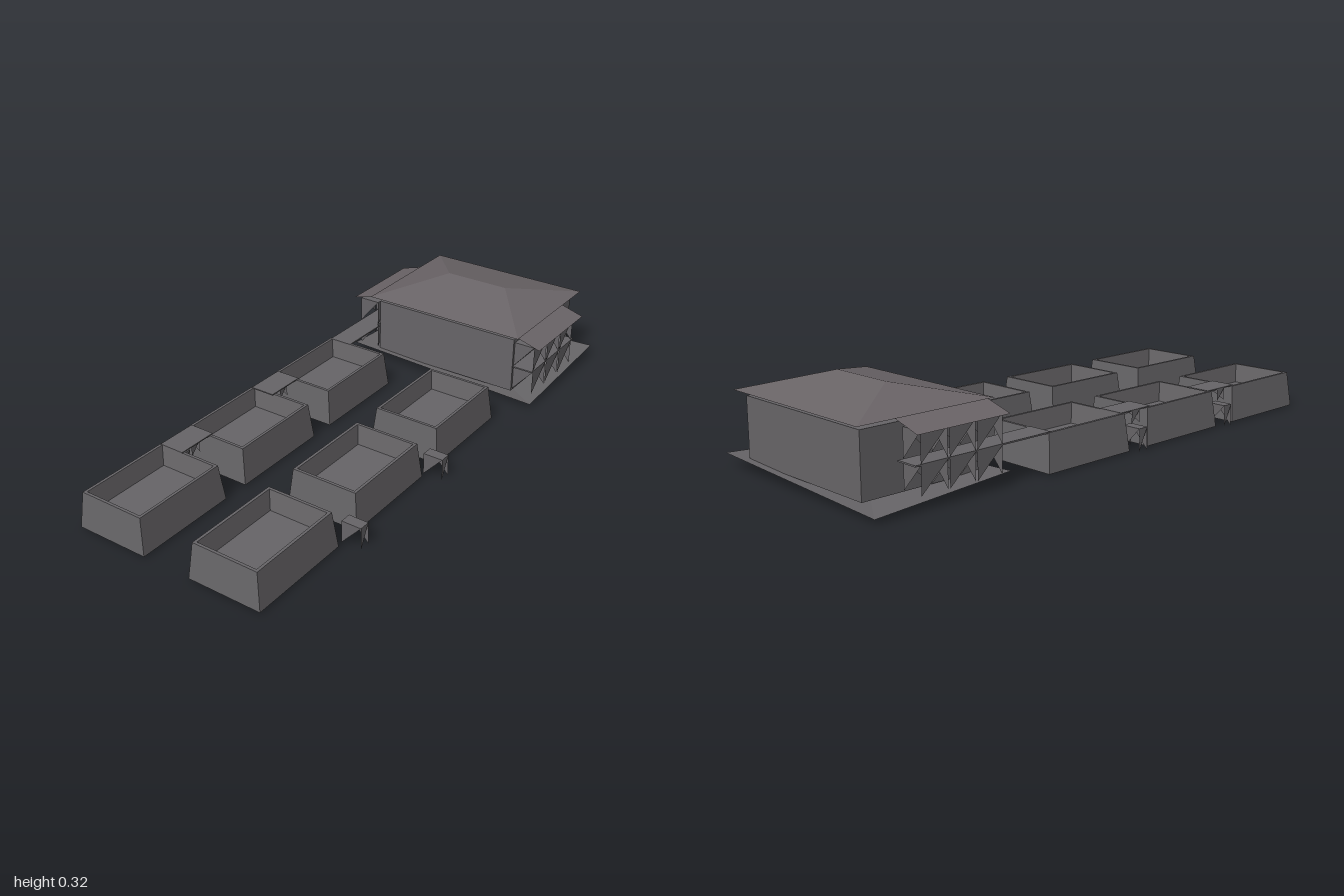
import * as THREE from 'three';

const stone = new THREE.MeshStandardMaterial({ color: 0x676568, side: THREE.DoubleSide });
stone.name = 'stone grey';
const roofing = new THREE.MeshStandardMaterial({ color: 0x6a6467, side: THREE.DoubleSide });
roofing.name = 'roof grey';

// Flat-shaded sheet made from polygons; each polygon is a list of [x, y, z] corners
function sheet(name, polygons, material) {
  const pos = [];
  for (const p of polygons)
    for (let i = 1; i < p.length - 1; i++) pos.push(...p[0], ...p[i], ...p[i + 1]);
  const g = new THREE.BufferGeometry();
  g.setAttribute('position', new THREE.Float32BufferAttribute(pos, 3));
  g.computeVertexNormals();
  const mesh = new THREE.Mesh(g, material);
  mesh.name = name;
  return mesh;
}

function box(name, x0, x1, y0, y1, z0, z1, material) {
  const mesh = new THREE.Mesh(new THREE.BoxGeometry(x1 - x0, y1 - y0, z1 - z0), material);
  mesh.position.set((x0 + x1) / 2, (y0 + y1) / 2, (z0 + z1) / 2);
  mesh.name = name;
  return mesh;
}

// Rectangle ring, counter-clockwise from above
const ring = (hx, hz, y) => [[-hx, y, hz], [hx, y, hz], [hx, y, -hz], [-hx, y, -hz]];

// Open tank with sloping outer walls, a narrow rim and a sunken floor
function basin(x, z) {
  const rings = [ring(0.136, 0.19, 0.005), ring(0.122, 0.177, 0.135),
    ring(0.112, 0.167, 0.135), ring(0.102, 0.155, 0.065)];
  const faces = [[...rings[0]].reverse(), rings[3]];
  for (let r = 0; r < 3; r++)
    for (let i = 0; i < 4; i++) {
      const j = (i + 1) % 4;
      faces.push([rings[r][i], rings[r][j], rings[r + 1][j], rings[r + 1][i]]);
    }
  const mesh = sheet('basin', faces, stone);
  mesh.position.set(x, 0, z);
  return mesh;
}

// Support with a flat top and one downward triangle on every side
function bracket(name, x0, x1, y0, y1, z0, z1) {
  const top = [[x0, y1, z1], [x1, y1, z1], [x1, y1, z0], [x0, y1, z0]];
  const faces = [top];
  top.forEach((a, i) => faces.push([[a[0], y0, a[2]], top[(i + 1) % 4], a]));
  return sheet(name, faces, stone);
}

export function createModel() {
  const model = new THREE.Group();
  model.name = 'waterworks';

  // Two rows of three basins
  for (const x of [-0.268, 0.186])
    for (const z of [-0.145, 0.328, 0.805]) model.add(basin(x, z));

  // Posts and footbridges between the basins
  for (const z of [0.095, 0.565]) {
    model.add(bracket('post', 0.312, 0.385, 0, 0.08, z - 0.02, z + 0.02));
    model.add(bracket('post', -0.42, -0.348, 0, 0.08, z - 0.02, z + 0.02));
    model.add(bracket('bridgeSupport', -0.385, -0.3, 0.09, 0.134, z - 0.02, z + 0.02));
    model.add(box('footbridge', -0.385, -0.29, 0.134, 0.138, z - 0.075, z + 0.075, stone));
  }
  model.add(box('footbridge', -0.385, -0.295, 0.131, 0.136, -0.51, -0.31, stone));

  // Thin, slightly warped ground slab
  const fl = [-0.39, 0.046, -0.485], fr = [0.398, 0.014, -0.485];
  const br = [0.398, 0.046, -1], bl = [-0.39, 0.014, -1];
  model.add(sheet('slab', [[fl, fr, bl], [fr, br, bl]], stone));

  // Building walls
  model.add(box('walls', -0.29, 0.303, 0.032, 0.245, -0.97, -0.51, stone));

  // Hipped roof floating above the walls
  const a = [-0.32, 0.264, -0.487], b = [0.33, 0.264, -0.487];
  const c = [0.33, 0.264, -1], d = [-0.32, 0.264, -1];
  const e = [-0.12, 0.322, -0.745], f = [0.13, 0.322, -0.745];
  model.add(sheet('roof', [[a, b, f, e], [b, c, f], [c, d, e, f], [d, a, e]], roofing));

  // Side galleries: lean-to roof, deck and zigzag supports
  for (const s of [-1, 1]) {
    const side = new THREE.Group();
    side.name = s < 0 ? 'rightGallery' : 'leftGallery';
    const inner = s * 0.302, outer = s * 0.41;
    const eave = [[outer, 0.232, -0.505], [outer, 0.232, -0.86],
      [inner, 0.264, -0.86], [inner, 0.264, -0.505]];
    side.add(sheet('leanToRoof', [s > 0 ? eave : eave.reverse()], roofing));
    const x0 = Math.min(s * 0.305, s * 0.385), x1 = Math.max(s * 0.305, s * 0.385);
    side.add(box('deck', x0, x1, 0.131, 0.136, -0.85, -0.51, stone));
    for (let i = 0; i < 3; i++) {
      const z = -0.83 + i * 0.107;
      side.add(bracket('deckSupport', x0, x1, 0.04, 0.131, z, z + 0.1));
      side.add(bracket('roofSupport', x0, x1, 0.136, 0.232, z, z + 0.1));
    }
    model.add(side);
  }
  return model;
}
